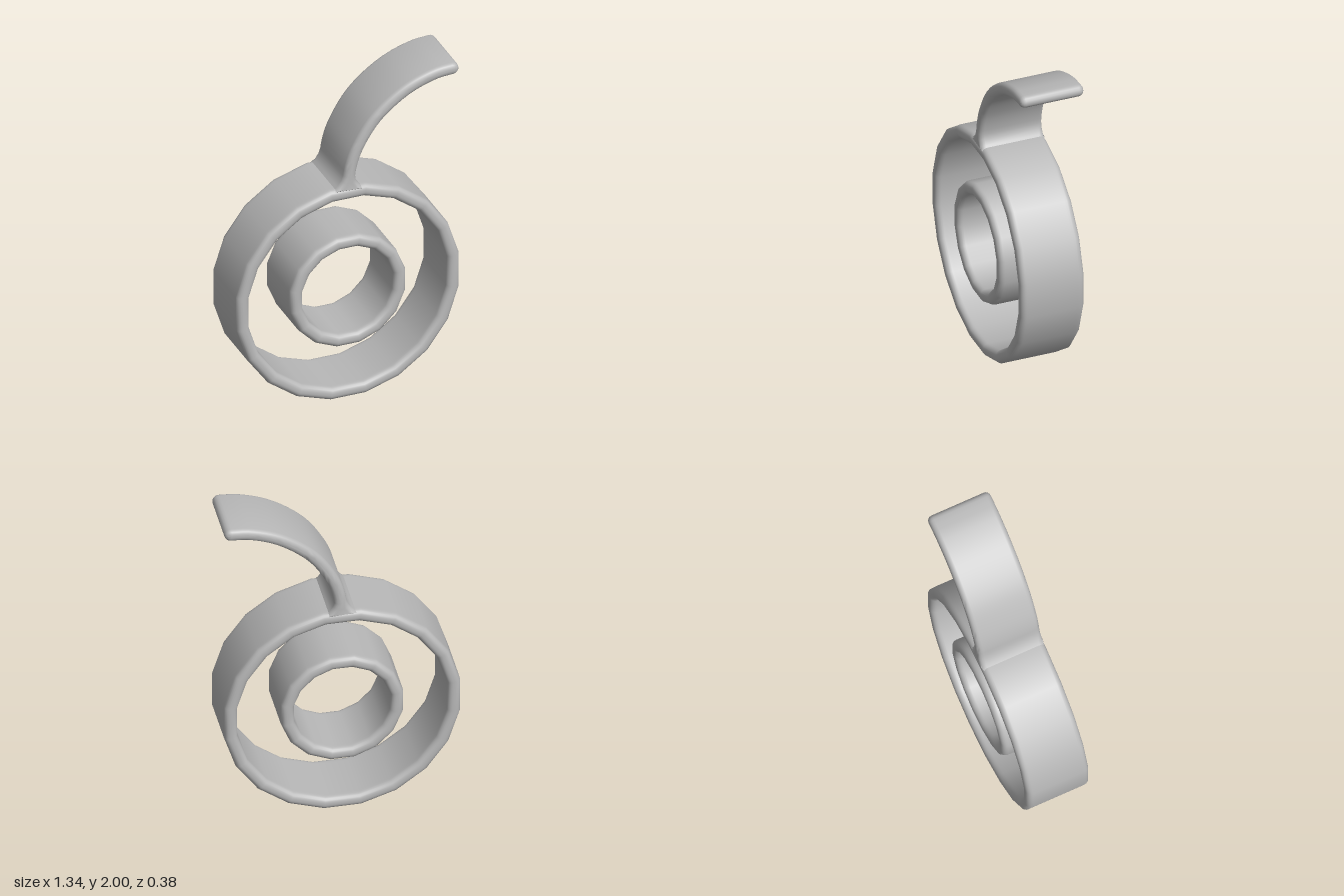
import * as THREE from 'three';
import { toCreasedNormals } from 'three/addons/utils/BufferGeometryUtils.js';

const HALF_DEPTH = 0.19;
const EDGE = 0.032;

// Wide band with rounded rims, turned around the z axis
function bandGeometry(inner, outer, segments) {
  const points = [new THREE.Vector2(outer, 0)];
  const corner = (r, y, start) => {
    for (let i = 0; i <= 5; i++) {
      const a = start + (i / 5) * Math.PI / 2;
      points.push(new THREE.Vector2(r + EDGE * Math.cos(a), y + EDGE * Math.sin(a)));
    }
  };
  const y = HALF_DEPTH - EDGE;
  points.push(new THREE.Vector2(outer, y - 0.015));
  corner(outer - EDGE, y, 0);
  corner(inner + EDGE, y, Math.PI / 2);
  points.push(new THREE.Vector2(inner, y - 0.015), new THREE.Vector2(inner, 0.015 - y));
  corner(inner + EDGE, -y, Math.PI);
  corner(outer - EDGE, -y, Math.PI * 1.5);
  points.push(new THREE.Vector2(outer, 0.015 - y), new THREE.Vector2(outer, 0));
  // half a segment of turn leaves flats at the bottom and sides
  return new THREE.LatheGeometry(points, segments, Math.PI / segments).rotateX(Math.PI / 2);
}

// Curved strip that flares into the outer ring and ends in a rounded tip
function stemGeometry() {
  const path = new THREE.CatmullRomCurve3([
    [0.004, 1.325], [0.008, 1.4], [0.024, 1.49], [0.063, 1.59], [0.17, 1.75],
    [0.355, 1.892], [0.53, 1.956], [0.632, 1.966],
  ].map(([x, y]) => new THREE.Vector3(x, y, 0)));
  const left = [], right = [];
  const steps = 32;
  for (let i = 0; i <= steps; i++) {
    const p = path.getPointAt(i / steps);
    const t = path.getTangentAt(i / steps);
    const flare = Math.max(0, (1.42 - p.y) / 0.095);
    const half = 0.036 + 0.06 * flare * flare;
    left.push(new THREE.Vector2(p.x - t.y * half, p.y + t.x * half));
    right.push(new THREE.Vector2(p.x + t.y * half, p.y - t.x * half));
  }
  // rounded tip
  const end = path.getPointAt(1), tan = path.getTangentAt(1);
  const angle = Math.atan2(tan.y, tan.x);
  const tip = [];
  for (let i = 1; i < 8; i++) {
    const a = angle - Math.PI / 2 + (i / 8) * Math.PI;
    tip.push(new THREE.Vector2(end.x + 0.036 * Math.cos(a), end.y + 0.036 * Math.sin(a)));
  }
  const shape = new THREE.Shape([...right, ...tip, ...left.reverse()]);
  const bevel = 0.03;
  const geometry = new THREE.ExtrudeGeometry(shape, {
    depth: 2 * (HALF_DEPTH - bevel), bevelEnabled: true, bevelThickness: bevel,
    bevelSize: bevel, bevelOffset: -bevel, bevelSegments: 4,
  });
  geometry.translate(0, 0, bevel - HALF_DEPTH);
  return toCreasedNormals(geometry, Math.PI / 3);
}

export function createModel() {
  const grey = new THREE.MeshStandardMaterial({ color: 0xb8b8b8 });
  grey.name = 'grey';
  const group = new THREE.Group();
  group.name = 'ringOrnament';
  const add = (name, geometry, y = 0) => {
    const mesh = new THREE.Mesh(geometry, grey);
    mesh.name = name;
    mesh.position.y = y;
    group.add(mesh);
  };

  add('outerRing', bandGeometry(0.603, 0.678, 20), 0.675);
  add('innerRing', bandGeometry(0.278, 0.353, 16), 0.683);
  add('curvedStem', stemGeometry());
  return group;
}
